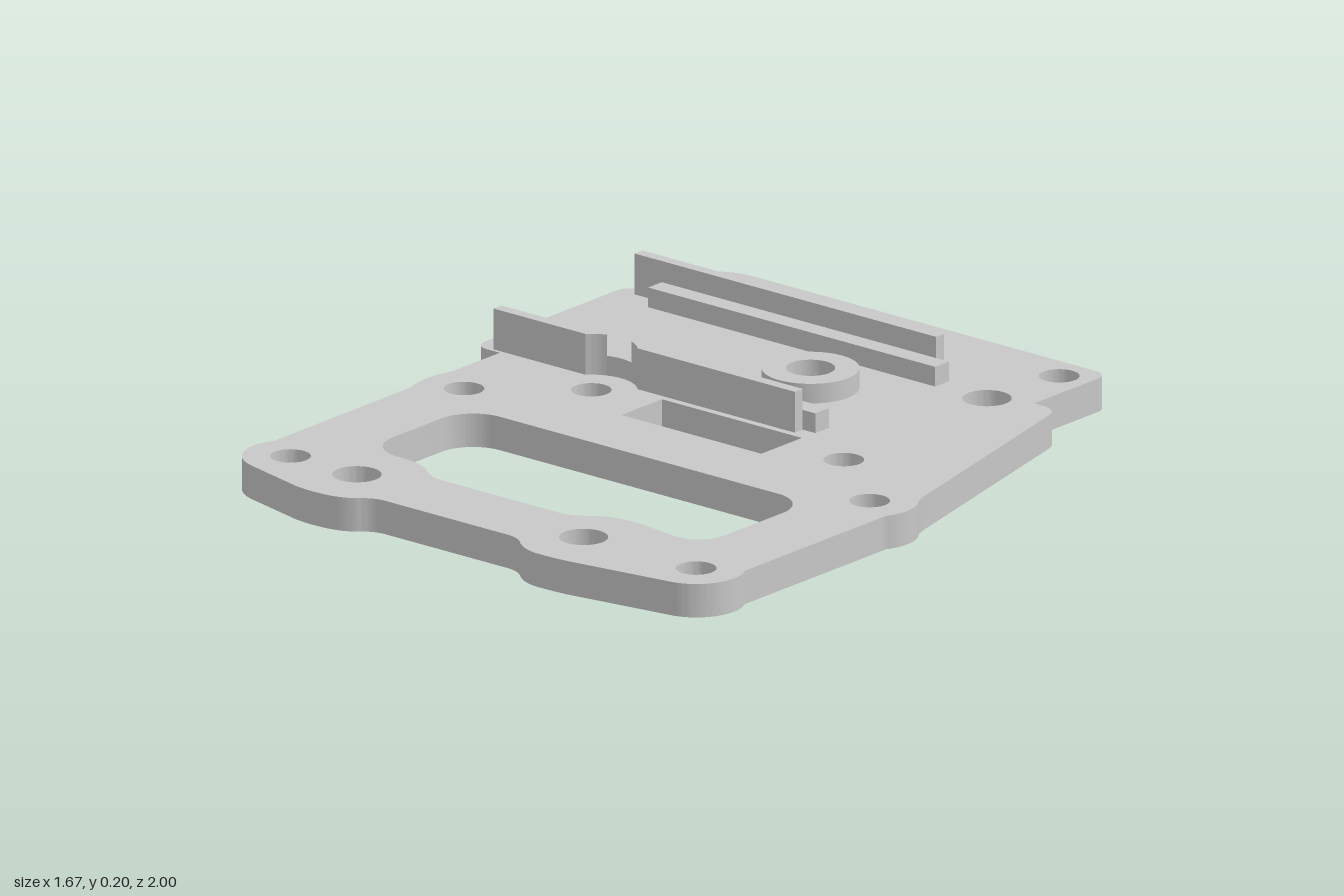
import * as THREE from 'three';
import { toCreasedNormals } from 'three/addons/utils/BufferGeometryUtils.js';

const PLATE = 0.09, LEDGE = 0.143, RAIL = 0.2;
const rad = THREE.MathUtils.degToRad;

// Traces a closed outline in plan (x, z). Entry: [x,z] line, [cx,cz,x,z] curve,
// [cx,cz,r,from,to] arc in degrees, clockwise when the angle falls.
function trace(steps, clockwise) {
  const path = new THREE.Path();
  steps.forEach((s, i) => {
    if (s.length === 5) path.absarc(s[0], -s[1], s[2], rad(s[3]), rad(s[4]), s[4] < s[3]);
    else if (s.length === 4) path.quadraticCurveTo(s[0], -s[1], s[2], -s[3]);
    else if (i === 0) path.moveTo(s[0], -s[1]);
    else path.lineTo(s[0], -s[1]);
  });
  const points = path.getPoints(24);
  return THREE.ShapeUtils.isClockWise(points) === clockwise ? points : points.reverse();
}

const circle = (x, z, r) => [[x, z, r, 0, 360]];
const rect = (x0, x1, z0, z1) => [[x0, z0], [x1, z0], [x1, z1], [x0, z1]];

export function createModel() {
  const group = new THREE.Group();
  const metal = new THREE.MeshStandardMaterial({ color: 0xc7c7c7 });
  metal.name = 'plain grey';

  // Upright slab from a plan outline; holes run against the outline
  function slab(name, outline, y0, y1, holes = []) {
    const shape = new THREE.Shape(trace(outline, false));
    shape.holes = holes.map((h) => new THREE.Path(trace(h, true)));
    const geo = new THREE.ExtrudeGeometry(shape, { depth: y1 - y0, bevelEnabled: false });
    geo.rotateX(-Math.PI / 2).translate(0, y0, 0);
    const mesh = new THREE.Mesh(toCreasedNormals(geo, rad(30)), metal);
    mesh.name = name;
    group.add(mesh);
  }

  // Base plate outline, clockwise from the back left corner
  const outline = [
    [-0.637, -0.822, 0.178, 206, 90],
    [0.503, -0.96, 0.04, 90, 0],
    [0.543, -0.707],
    [0.575, -0.65, 0.057, 90, 14],
    [0.794, 0.026],
    [0.71, 0.141, 0.125, 40, -30],
    [0.818, 0.226], [0.818, 0.76],
    [0.71, 0.825, 0.125, 30, -80],
    [0.435, 0.994],
    [0.385, 1, 0.335, 1],
    [0.285, 1, 0.245, 0.968],
    [0.215, 0.937, 0.175, 0.937],
    [-0.23, 0.937],
    [-0.27, 0.937, -0.3, 0.968],
    [-0.34, 1, -0.42, 1],
    [-0.45, 1, -0.48, 0.995],
    [-0.67, 0.947],
    [-0.64, 0.825, 0.125, -104, -210],
    [-0.75, 0.221],
    [-0.78, 0.141, -0.75, 0.061],
    [-0.75, -0.13],
    [-0.795, -0.17, 0.04, -90, -180],
    [-0.795, -0.695, 0.04, 180, 120],
  ];

  // Large opening with a wavy front edge
  const opening = [
    [-0.43, 0.355, 0.105, 180, 90],
    [0.497, 0.355, 0.105, 90, 0],
    [0.602, 0.575],
    [0.602, 0.676, 0.503, 0.671],
    [0.385, 0.654],
    [0.295, 0.648, 0.24, 0.691],
    [0.205, 0.722, 0.17, 0.722],
    [-0.23, 0.722],
    [-0.265, 0.722, -0.3, 0.691],
    [-0.345, 0.654, -0.42, 0.654],
    [-0.43, 0.549, 0.105, -90, -180],
  ];

  // Bolt holes: x, z, radius
  const bolts = [
    [-0.637, -0.822, 0.063], [0.425, -0.66, 0.063], [0.028, -0.434, 0.063],
    [-0.42, 0.826, 0.063], [0.335, 0.826, 0.063],
  ];
  for (const x of [-0.387, 0.454]) for (const z of [-0.911, -0.06]) bolts.push([x, z, 0.052]);
  for (const x of [-0.641, 0.71]) for (const z of [0.141, 0.826]) bolts.push([x, z, 0.052]);

  slab('basePlate', outline, 0, PLATE,
    [opening, rect(-0.202, 0.264, -0.12, 0.04), ...bolts.map((b) => circle(...b))]);

  // Raised ring around the middle hole
  slab('bossRing', circle(0.028, -0.434, 0.125), PLATE, LEDGE, [circle(0.028, -0.434, 0.063)]);

  // Back rail and its low ledge
  slab('backRail', rect(-0.78, 0.224, -0.729, -0.698), PLATE, RAIL);
  slab('backLedge', rect(-0.69, 0.266, -0.698, -0.644), PLATE, LEDGE);

  // Front rail, scooped out round the bolt hole beside it
  const cx = -0.387, cz = -0.06, r = 0.118, zIn = -0.171, zOut = -0.14, zBack = -0.225;
  const angleAt = (z) => THREE.MathUtils.radToDeg(Math.asin((cz - z) / r));
  const aIn = angleAt(zIn), aOut = angleAt(zOut);
  slab('frontRailRight', [[-0.78, zOut], [-0.78, zIn], [cx, cz, r, 180 - aIn, 180 - aOut]], PLATE, RAIL);
  slab('frontRailLeft', [[0.224, zOut], [0.224, zIn], [cx, cz, r, aIn, aOut]], PLATE, RAIL);
  slab('frontLedge', [[0.266, zIn], [0.266, zBack], [-0.69, zBack], [-0.69, zIn],
    [cx, cz, r, 180 - aIn, aIn]], PLATE, LEDGE);

  return group;
}
